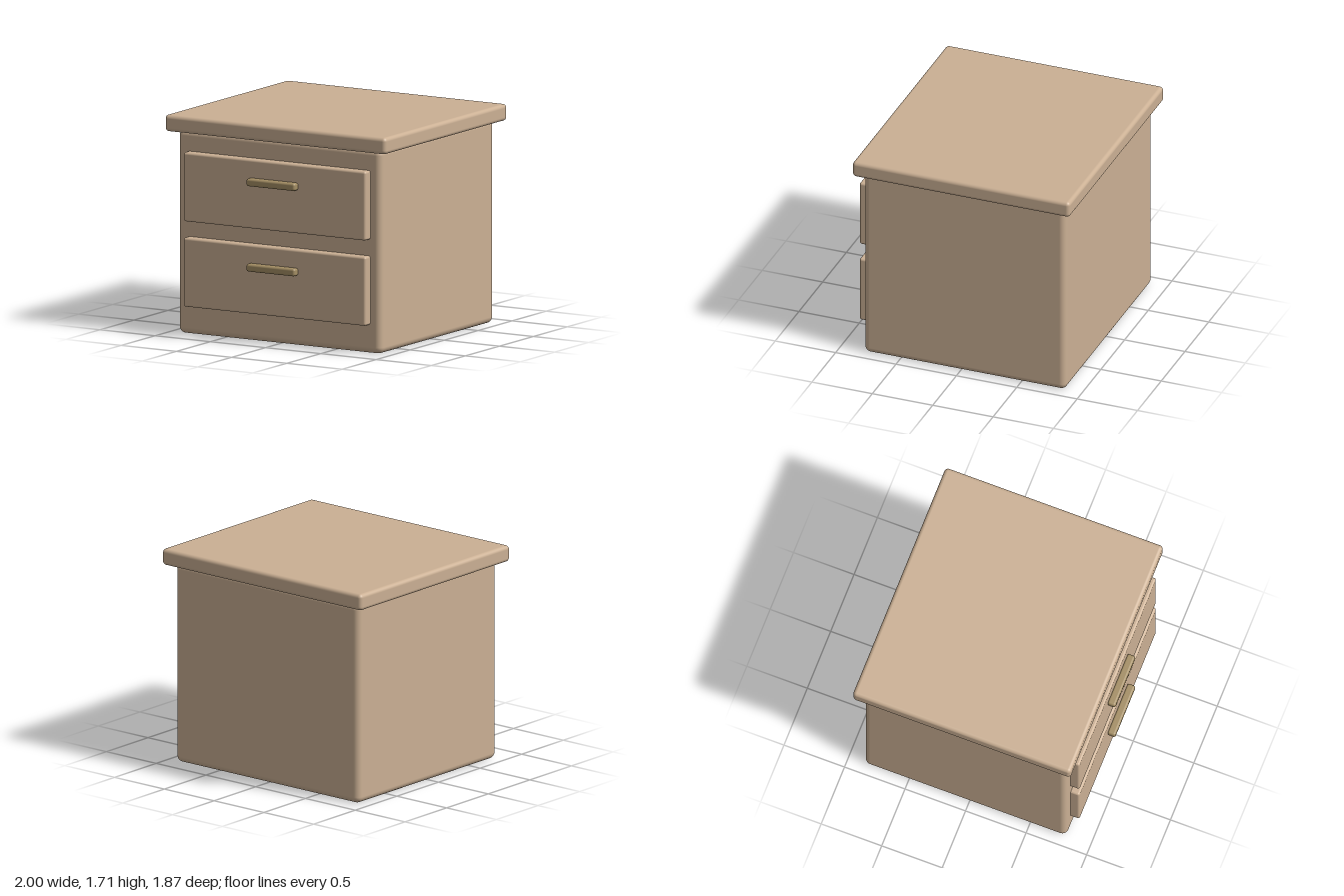
import * as THREE from 'three';
import { RoundedBoxGeometry } from 'three/addons/geometries/RoundedBoxGeometry.js';

export function createModel() {
  const group = new THREE.Group();
  const wood = new THREE.MeshStandardMaterial({ color: 0xcbb094 });
  const brass = new THREE.MeshStandardMaterial({ color: 0xa48e64 });

  // Rounded box given by its min and max corners
  function block(name, min, max, radius, material) {
    const size = max.map((v, i) => v - min[i]);
    const mesh = new THREE.Mesh(new RoundedBoxGeometry(...size, 4, radius), material);
    mesh.position.set(...max.map((v, i) => (v + min[i]) / 2));
    mesh.name = name;
    group.add(mesh);
  }

  // Cabinet body and overhanging top
  block('body', [-0.92, 0, -0.87], [0.92, 1.6, 0.8], 0.05, wood);
  block('tabletop', [-1, 1.58, -0.935], [1, 1.71, 0.865], 0.03, wood);

  // Two drawers, each with a bar handle; fronts sink into the body
  [['lower', 0.225], ['upper', 0.893]].forEach(([level, y]) => {
    block(level + 'DrawerFront', [-0.825, y, 0.74], [0.825, y + 0.54, 0.873], 0.018, wood);
    block(level + 'Handle', [-0.22, y + 0.34, 0.868], [0.22, y + 0.4, 0.935], 0.018, brass);
  });

  return group;
}
